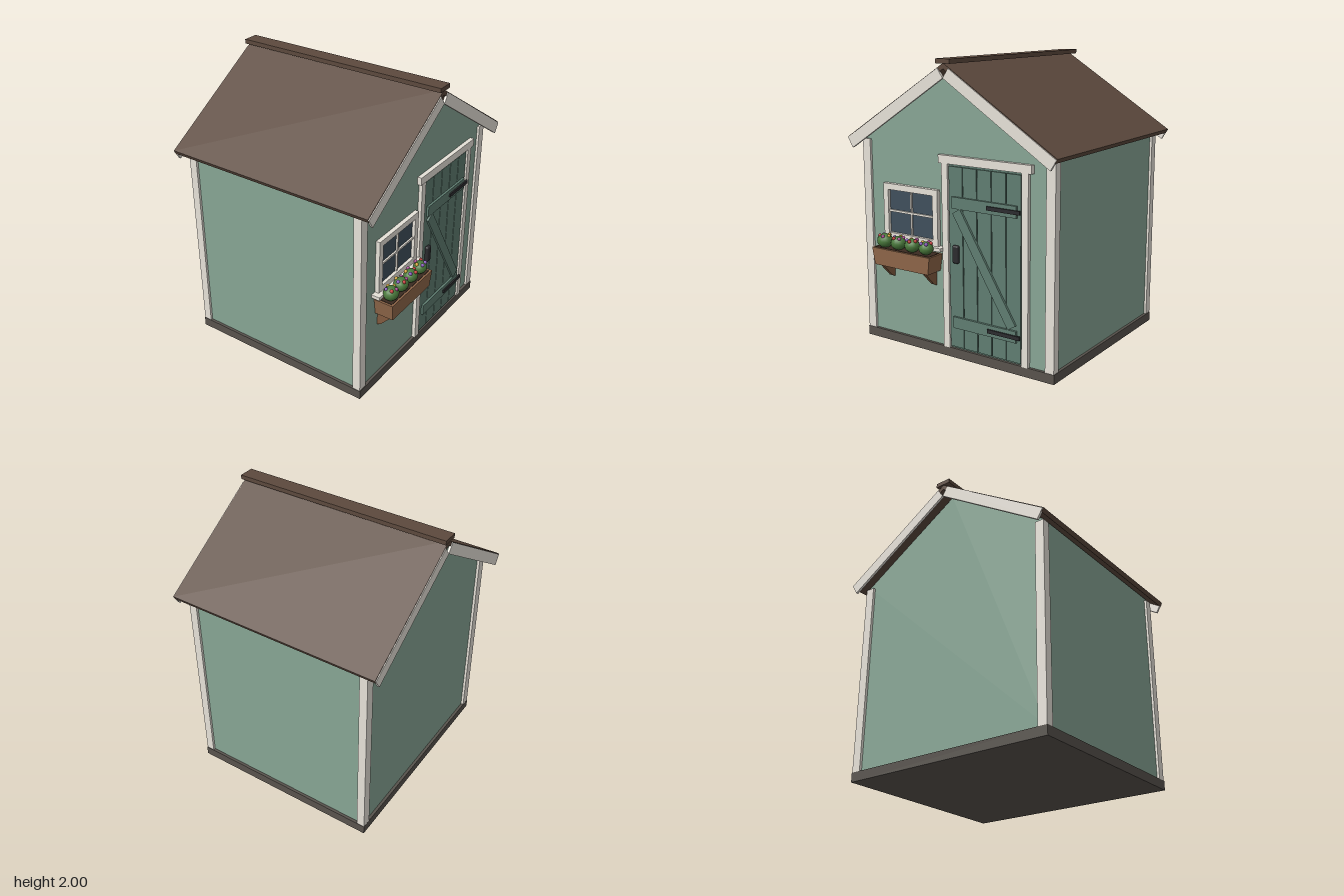
import * as THREE from 'three';
import { RoundedBoxGeometry } from 'three/addons/geometries/RoundedBoxGeometry.js';

const mat = (color) => new THREE.MeshStandardMaterial({ color });
const M = {
  wall: mat(0x87a594), trim: mat(0xe6e1d8), door: mat(0x5f7d71), roof: mat(0x5c493d),
  base: mat(0x58534d), glass: mat(0x3f4f5c), iron: mat(0x2b2b2e), planter: mat(0x8f6749),
  bracket: mat(0x805a3e), soil: mat(0x3a2a20), leaf: mat(0x4a7a3c),
};
const petals = [0xd8a83a, 0xb04a9a, 0xc43a3a, 0x8a5ac0].map(mat);

export function createModel() {
  const model = new THREE.Group();

  const add = (name, geo, material, parent = model) => {
    const mesh = new THREE.Mesh(geo, material);
    mesh.name = name;
    parent.add(mesh);
    return mesh;
  };
  // Box given by its limits on each axis
  const box = (name, material, x0, x1, y0, y1, z0, z1, parent) => {
    const mesh = add(name, new THREE.BoxGeometry(x1 - x0, y1 - y0, z1 - z0), material, parent);
    mesh.position.set((x0 + x1) / 2, (y0 + y1) / 2, (z0 + z1) / 2);
    return mesh;
  };
  // Outline in x, y extruded from z0 to z1
  const prism = (name, material, points, z0, z1, parent) => {
    const shape = new THREE.Shape(points.map(([x, y]) => new THREE.Vector2(x, y)));
    const geo = new THREE.ExtrudeGeometry(shape, { depth: z1 - z0, bevelEnabled: false });
    return add(name, geo.translate(0, 0, z0), material, parent);
  };
  const group = (name) => {
    const g = new THREE.Group();
    g.name = name;
    model.add(g);
    return g;
  };

  // Floor and walls with gables
  box('floorBase', M.base, -0.78, 0.78, 0, 0.065, -0.715, 0.68);
  prism('walls', M.wall, [[-0.76, 0.065], [0.76, 0.065], [0.76, 1.45], [0, 1.925], [-0.76, 1.45]], -0.695, 0.66);

  // Corner posts
  for (const s of [-1, 1]) {
    for (const z of [-0.685, 0.648]) {
      box('cornerPost', M.trim, s * 0.744 - 0.033, s * 0.744 + 0.033, 0.065, 1.43, z - 0.029, z + 0.029);
    }
  }

  // Roof panels, gable boards and ridge cap
  for (const s of [-1, 1]) {
    const flip = (pts) => pts.map(([x, y]) => [s * x, y]);
    prism('roofPanel', M.roof, flip([[0, 1.973], [0.835, 1.448], [0.82, 1.42], [0, 1.937]]), -0.797, 0.757);
    const board = flip([[0.043, 1.942], [0.832, 1.443], [0.79, 1.375], [0, 1.88]]);
    prism('gableBoard', M.trim, board, 0.747, 0.764);
    prism('gableBoard', M.trim, board, -0.803, -0.786);
  }
  box('ridgeCap', M.roof, -0.056, 0.056, 1.97, 2, -0.805, 0.765);

  // Door frame
  const door = group('door');
  box('doorJamb', M.trim, -0.085, -0.036, 0.065, 1.325, 0.65, 0.686, door);
  box('doorJamb', M.trim, 0.54, 0.588, 0.065, 1.325, 0.65, 0.686, door);
  box('doorLintel', M.trim, -0.108, 0.614, 1.325, 1.38, 0.65, 0.69, door);

  // Door planks over a backing sheet, with rails, brace, hinges and handle
  box('doorBacking', M.door, -0.036, 0.54, 0.068, 1.32, 0.65, 0.667, door);
  for (let i = 0; i < 5; i++) {
    const x = -0.03 + i * 0.113;
    box('doorPlank', M.door, x, x + 0.107, 0.08, 1.31, 0.66, 0.678, door);
  }
  for (const y of [0.257, 1.075]) {
    box('doorRail', M.door, 0.002, 0.503, y - 0.039, y + 0.039, 0.67, 0.694, door);
    box('hinge', M.iron, 0.285, 0.535, y - 0.013, y + 0.013, 0.69, 0.704, door);
  }
  const brace = add('doorBrace', new THREE.BoxGeometry(0.07, 0.83, 0.022), M.door, door);
  brace.position.set(0.252, 0.667, 0.682);
  brace.rotation.z = Math.atan2(0.44, 0.72);
  const handle = add('doorHandle', new RoundedBoxGeometry(0.05, 0.122, 0.03, 3, 0.013), M.iron, door);
  handle.position.set(0.03, 0.73, 0.69);

  // Window
  const win = group('window');
  box('windowGlass', M.glass, -0.56, -0.15, 0.76, 1.11, 0.65, 0.668, win);
  for (const [x0, x1] of [[-0.59, -0.548], [-0.163, -0.121]]) {
    box('windowStile', M.trim, x0, x1, 0.755, 1.098, 0.65, 0.69, win);
  }
  box('windowHead', M.trim, -0.59, -0.121, 1.098, 1.14, 0.65, 0.69, win);
  box('windowFoot', M.trim, -0.59, -0.121, 0.755, 0.797, 0.65, 0.69, win);
  box('windowBar', M.trim, -0.362, -0.35, 0.79, 1.1, 0.66, 0.68, win);
  box('windowBar', M.trim, -0.55, -0.16, 0.943, 0.957, 0.66, 0.68, win);
  box('windowSill', M.trim, -0.63, -0.08, 0.733, 0.757, 0.65, 0.72, win);

  // Planter box, narrower at the bottom
  const planter = group('flowerBox');
  const boxGeo = new THREE.BoxGeometry(0.5, 0.12, 0.14);
  const p = boxGeo.attributes.position;
  for (let i = 0; i < p.count; i++) {
    if (p.getY(i) < 0) {
      p.setX(i, p.getX(i) * 0.93);
      if (p.getZ(i) > 0) p.setZ(i, p.getZ(i) - 0.006);
    }
  }
  boxGeo.computeVertexNormals();
  add('planterBox', boxGeo, M.planter, planter).position.set(-0.355, 0.648, 0.734);
  box('soil', M.soil, -0.59, -0.12, 0.7, 0.711, 0.68, 0.79, planter);

  // Triangular brackets below the planter
  for (const x of [-0.542, -0.172]) {
    const tri = prism('planterBracket', M.bracket, [[-0.655, 0.59], [-0.655, 0.475], [-0.69, 0.49], [-0.785, 0.59]].reverse(), -0.013, 0.013, planter);
    tri.rotation.y = Math.PI / 2;
    tri.position.x = x;
  }

  // Four bushes, each with a ring of blossoms
  for (let i = 0; i < 4; i++) {
    const x = -0.535 + i * 0.12;
    const r = 0.058 - i * 0.002;
    const bush = add('bush', new THREE.SphereGeometry(r, 14, 10), M.leaf, planter);
    bush.scale.set(1, 0.85, 0.9);
    bush.position.set(x, 0.753, 0.748);
    for (let k = 0; k < 5; k++) {
      const a = k * Math.PI * 0.4 + i * 0.7;
      const bloom = add('blossom', new THREE.SphereGeometry(0.013, 8, 6), petals[(i + k) % 4], planter);
      bloom.position.set(x + 0.034 * Math.cos(a), 0.788, 0.748 + 0.034 * Math.sin(a));
    }
  }

  return model;
}
